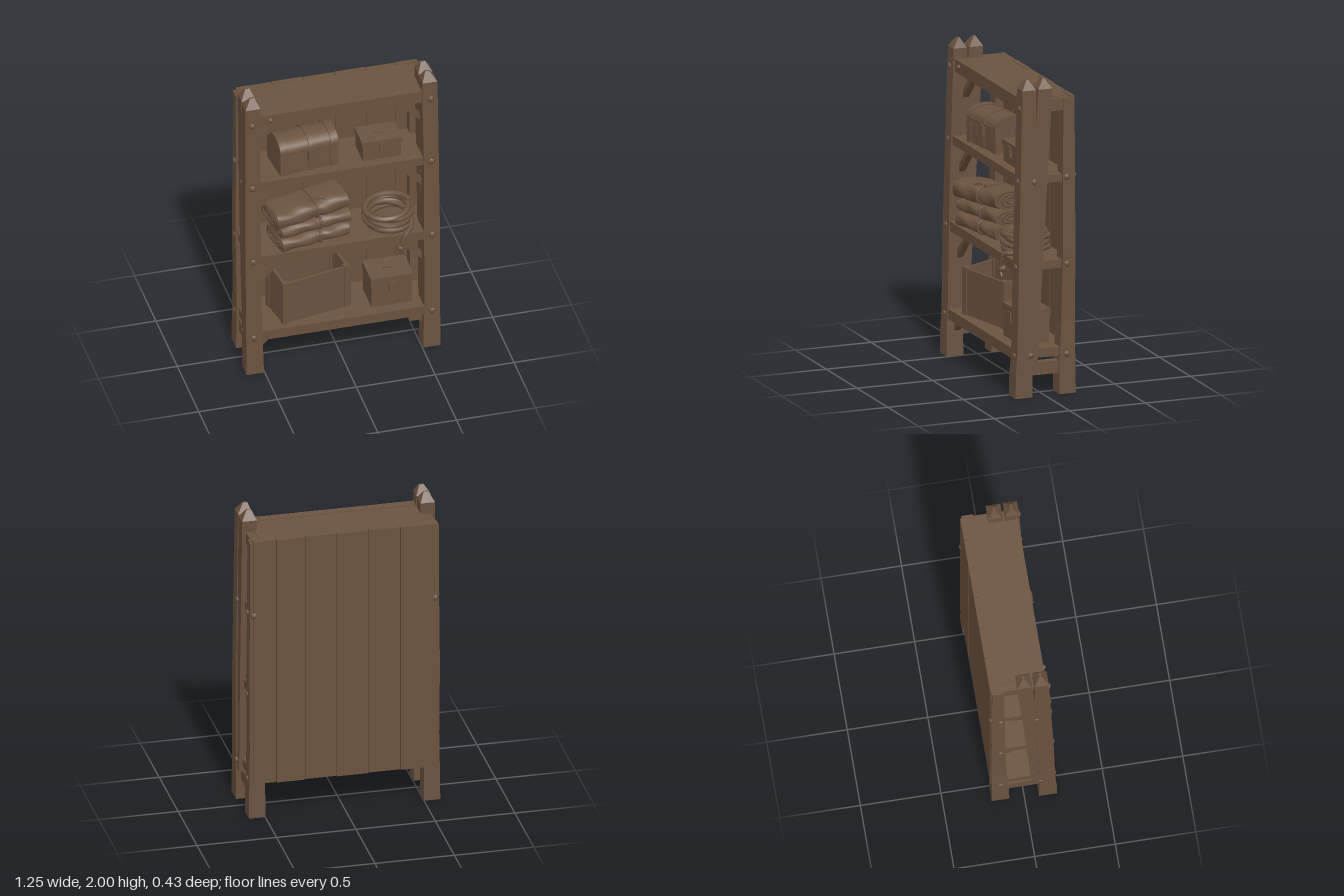
import * as THREE from 'three';
import { toCreasedNormals } from 'three/addons/utils/BufferGeometryUtils.js';

export function createModel() {
  const model = new THREE.Group();
  const wood = new THREE.MeshStandardMaterial({ color: 0x6a523f });
  wood.name = 'brown wood';

  const add = (name, geo, parent = model) => {
    const mesh = new THREE.Mesh(geo, wood);
    mesh.name = name;
    parent.add(mesh);
    return mesh;
  };
  const group = (name, x, y, z, turn = 0, tilt = 0) => {
    const g = new THREE.Group();
    g.name = name;
    g.position.set(x, y, z);
    g.rotation.set(0, turn, tilt);
    model.add(g);
    return g;
  };
  // Box given by its limits
  const box = (name, x0, x1, y0, y1, z0, z1, parent) => {
    const mesh = add(name, new THREE.BoxGeometry(x1 - x0, y1 - y0, z1 - z0), parent);
    mesh.position.set((x0 + x1) / 2, (y0 + y1) / 2, (z0 + z1) / 2);
    return mesh;
  };
  // Square-section timber from sections [y, cx, cz, halfX, halfZ], flat shaded
  const loft = (name, sections) => {
    const pos = [], idx = [];
    sections.forEach(([y, cx, cz, hx, hz]) =>
      [[-1, -1], [-1, 1], [1, 1], [1, -1]].forEach(([a, b]) => pos.push(cx + a * hx, y, cz + b * hz)));
    for (let s = 0; s < sections.length - 1; s++)
      for (let i = 0; i < 4; i++) {
        const a = s * 4 + i, b = s * 4 + (i + 1) % 4;
        idx.push(a, b, b + 4, a, b + 4, a + 4);
      }
    const t = pos.length / 3 - 4;
    idx.push(0, 2, 1, 0, 3, 2, t, t + 1, t + 2, t, t + 2, t + 3);
    const g = new THREE.BufferGeometry();
    g.setAttribute('position', new THREE.Float32BufferAttribute(pos, 3));
    g.setIndex(idx);
    const flat = g.toNonIndexed();
    flat.computeVertexNormals();
    return add(name, flat);
  };
  const tube = (name, pts, r, seg, parent, sides = 7) =>
    add(name, new THREE.TubeGeometry(new THREE.CatmullRomCurve3(pts), seg, r, sides), parent);
  const V = (x, y, z) => new THREE.Vector3(x, y, z);

  const shelves = [[0.235, 0.30, 0.19], [0.79, 0.85, 0.175], [1.335, 1.39, 0.158]];

  // Posts, side rails, corner braces and bolts on both sides
  for (const s of [-1, 1]) {
    loft('frontPost', [
      [0, s * 0.56, 0.146, 0.055, 0.056], [0.15, s * 0.562, 0.146, 0.053, 0.054],
      [0.27, s * 0.565, 0.141, 0.05, 0.05], [0.85, s * 0.567, 0.131, 0.05, 0.05],
      [1.3, s * 0.567, 0.119, 0.047, 0.05], [1.72, s * 0.562, 0.112, 0.049, 0.047],
      [1.94, s * 0.561, 0.108, 0.047, 0.044], [2, s * 0.555, 0.106, 0.014, 0.006]]);
    loft('leaningPost', [
      [0.2, s * 0.56, 0.098, 0.044, 0.046], [0.9, s * 0.562, 0.063, 0.045, 0.048],
      [1.5, s * 0.562, 0.028, 0.045, 0.048], [1.94, s * 0.561, 0.002, 0.046, 0.046],
      [2, s * 0.557, 0, 0.014, 0.006]]);
    loft('rearPost', [
      [0, s * 0.55, -0.147, 0.052, 0.055], [0.2, s * 0.55, -0.147, 0.05, 0.052],
      [0.45, s * 0.55, -0.153, 0.046, 0.045], [0.9, s * 0.552, -0.159, 0.048, 0.041],
      [1.4, s * 0.55, -0.159, 0.045, 0.04], [1.86, s * 0.55, -0.16, 0.044, 0.036]]);
    const rail = (name, y0, y1, z0, z1) => box(name, s * 0.555 - 0.027, s * 0.555 + 0.027, y0, y1, z0, z1);
    rail('footRail', 0.13, 0.21, -0.12, 0.12);
    shelves.forEach(([y0, y1]) => rail('sideRail', y0 + 0.004, y1 - 0.004, -0.15, 0.1));
    rail('topSideRail', 1.79, 1.865, -0.18, 0.08);

    [[0.235, 0.07, 0.15], [0.79, 0.16, 0.13], [1.335, 0.16, 0.115], [1.79, 0.15, 0.09]].forEach(([y, l, z]) => {
      const brace = add('cornerBrace', new THREE.BoxGeometry(l * 1.414 + 0.02, 0.032, 0.04));
      brace.position.set(s * (0.525 - l / 2), y - l / 2, z - 0.02);
      brace.rotation.z = -s * Math.PI / 4;
    });

    const bolt = (x, y, z, side) => {
      const b = add('bolt', new THREE.SphereGeometry(0.021, 8, 6));
      b.position.set(x, y, z);
      b.scale.set(side ? 0.6 : 1, 1, side ? 1 : 0.6);
    };
    [[0.26, 0.191], [0.82, 0.181], [1.36, 0.167], [1.82, 0.157]].forEach(([y, z]) => bolt(s * 0.567, y, z, false));
    [[0.265, 0.1], [1.36, 0.075]].forEach(([y, z]) => bolt(s * 0.61, y, z, true));
    [0.25, 0.82, 1.37].forEach(y => bolt(s * 0.597, y, -0.145, true));
    bolt(s * 0.57, 1.37, -0.202, false);
  }

  // Shelves with a front lip
  shelves.forEach(([y0, y1, z]) => {
    box('shelf', -0.53, 0.53, y0 + 0.005, y1 - 0.003, -0.176, z - 0.03);
    box('shelfLip', -0.528, 0.528, y0, y1, z - 0.03, z);
  });

  // Top board and the front beam
  box('topBoard', -0.53, 0.53, 1.835, 1.87, -0.176, 0.11);
  box('topBeam', -0.53, 0.53, 1.793, 1.875, 0.085, 0.142);
  const peg = add('bolt', new THREE.SphereGeometry(0.018, 8, 6));
  peg.position.set(-0.45, 1.838, 0.142);

  // Back planks with narrow gaps
  const edges = [-0.575, -0.35, -0.15, 0.05, 0.245, 0.43, 0.575];
  for (let i = 0; i < 6; i++)
    box('backPlank', edges[i] + 0.002, edges[i + 1] - 0.002,
      0.228 + 0.004 * (i % 2), 1.87 + 0.003 * (i % 2), -0.206, -0.175);

  // Arch-topped chest, turned slightly
  const chest = group('chest', -0.2, 1.388, -0.012, 0.1);
  const archSlice = (name, x, width, grow) => {
    const w = 0.108 + grow, h = 0.16, sh = new THREE.Shape();
    sh.moveTo(-w, 0).lineTo(w, 0).lineTo(w, h);
    for (let i = 1; i <= 12; i++) {
      const a = i / 12 * Math.PI;
      sh.lineTo(w * Math.cos(a), h + (0.065 + grow) * Math.sin(a));
    }
    const g = new THREE.ExtrudeGeometry(sh, { depth: width, bevelEnabled: false });
    g.translate(0, 0, -width / 2).rotateY(Math.PI / 2).translate(x, 0, 0);
    return add(name, toCreasedNormals(g, 0.6), chest);
  };
  archSlice('chestBody', 0, 0.365, 0);
  [-0.165, 0.165].forEach(x => archSlice('chestEndBand', x, 0.05, 0.008));
  archSlice('chestStrap', 0.015, 0.035, 0.008);
  box('lidRim', -0.187, 0.187, 0.142, 0.162, -0.117, 0.117, chest);
  box('chestLatch', -0.01, 0.04, 0.082, 0.152, 0.107, 0.127, chest);

  // Two small lidded boxes
  const smallBox = (x0, x1, y0, y1, z0, z1) => {
    const g = group('smallBox', 0, 0, 0);
    const split = y1 - (y1 - y0) * 0.25, mx = (x0 + x1) / 2;
    box('boxBody', x0 + 0.006, x1 - 0.006, y0, split - 0.004, z0 + 0.006, z1 - 0.006, g);
    box('boxSeam', x0 + 0.012, x1 - 0.012, split - 0.004, split, z0 + 0.012, z1 - 0.012, g);
    box('boxLid', x0, x1, split, y1, z0, z1, g);
    box('boxLatch', mx - 0.02, mx + 0.02, split - 0.05, split + 0.02, z1 - 0.01, z1 + 0.01, g);
    box('boxHandle', mx - 0.03, mx + 0.03, y1, y1 + 0.008, (z0 + z1) / 2 - 0.01, (z0 + z1) / 2 + 0.01, g);
  };
  smallBox(0.145, 0.4, 1.388, 1.525, -0.08, 0.1);
  smallBox(0.195, 0.465, 0.298, 0.51, -0.09, 0.12);

  // Open crate turned to show its right-hand end, rear rim a little higher
  const crate = group('crate', -0.167, 0.3, -0.008, 0.2);
  box('crateFloor', -0.22, 0.22, 0, 0.02, -0.11, 0.11, crate);
  box('crateFront', -0.22, 0.22, 0, 0.292, 0.095, 0.112, crate);
  box('crateBack', -0.22, 0.22, 0, 0.32, -0.112, -0.095, crate);
  for (const s of [-1, 1]) {
    const side = box('crateSide', s * 0.216 - 0.009, s * 0.216 + 0.009, 0, 0.306, -0.11, 0.11, crate);
    const p = side.geometry.attributes.position;
    for (let i = 0; i < p.count; i++) if (p.getY(i) > 0) p.setY(i, p.getY(i) - p.getZ(i) * 0.14);
    side.geometry.computeVertexNormals();
    box('cratePost', s * 0.21 - 0.022, s * 0.21 + 0.022, 0, 0.3, 0.084, 0.12, crate);
    box('cratePost', s * 0.21 - 0.022, s * 0.21 + 0.022, 0, 0.332, -0.12, -0.084, crate);
  }

  // Stacked blanket rolls: squashed cylinders with soft wrinkles, a coiled end and a tie
  const blanket = (xc, len, y, hy, zc, hz, turn, tilt) => {
    const g = group('blanketRoll', xc, y, zc, turn, tilt);
    const geo = new THREE.CylinderGeometry(1, 1, len, 28, 14);
    geo.rotateZ(Math.PI / 2);
    const p = geo.attributes.position;
    const sq = v => Math.sign(v) * Math.pow(Math.abs(v), 0.7);
    for (let i = 0; i < p.count; i++) {
      const x = p.getX(i), a = Math.atan2(p.getY(i), p.getZ(i));
      const k = 1 + 0.035 * Math.sin(x * 31 + a * 3 + y * 40) - 0.09 * Math.exp(-Math.pow((x - 0.03) / 0.025, 2));
      p.setXYZ(i, x, sq(p.getY(i)) * hy * k, sq(p.getZ(i)) * hz * k);
    }
    geo.computeVertexNormals();
    add('blanket', toCreasedNormals(geo, 0.9), g);
    for (const e of [-1, 1]) {
      const pts = [];
      for (let i = 0; i <= 40; i++) {
        const a = i / 40 * Math.PI * 5, r = 0.88 - 0.7 * i / 40;
        pts.push(V(e * len / 2, sq(Math.sin(a)) * hy * r, sq(Math.cos(a)) * hz * r));
      }
      tube('rolledEnd', pts, 0.008, 90, g, 5);
    }
    const tie = [];
    for (let i = 0; i < 24; i++) {
      const a = i / 24 * Math.PI * 2;
      tie.push(V(0.03, sq(Math.sin(a)) * hy * 0.97, sq(Math.cos(a)) * hz * 0.97));
    }
    add('tie', new THREE.TubeGeometry(new THREE.CatmullRomCurve3(tie, true), 60, 0.009, 6, true), g);
    return g;
  };
  blanket(-0.178, 0.45, 0.9, 0.05, 0.035, 0.125, 0.18, 0);
  blanket(-0.172, 0.46, 0.992, 0.047, 0.03, 0.12, 0.16, 0.02);
  const topRoll = blanket(-0.2, 0.48, 1.093, 0.06, 0.035, 0.125, 0.2, 0.05);
  for (const e of [-1, 1])
    tube('bow', [V(0.03, 0.055, 0.06), V(0.03 + e * 0.04, 0.07, 0.07), V(0.03 + e * 0.07, 0.062, 0.09)], 0.008, 10, topRoll, 5);

  // Coiled rope with a knotted end hanging over the lip
  const coil = [];
  for (let i = 0; i <= 120; i++) {
    const t = i / 120, a = t * Math.PI * 10;
    const r = 0.135 + 0.012 * Math.sin(i * 0.37);
    coil.push(V(0.33 + r * Math.cos(a), 0.868 + 0.115 * t + 0.008 * Math.sin(a * 1.3), 0.02 + r * 0.95 * Math.sin(a)));
  }
  tube('ropeCoil', coil, 0.019, 300, model);
  tube('ropeEnd', [V(0.46, 0.9, 0.08), V(0.44, 0.875, 0.15), V(0.4, 0.865, 0.19), V(0.38, 0.82, 0.197), V(0.365, 0.76, 0.195)], 0.016, 30, model);
  const knot = add('ropeKnot', new THREE.SphereGeometry(0.026, 10, 8));
  knot.position.set(0.367, 0.768, 0.19);
  for (const d of [-0.03, 0, 0.025])
    tube('ropeFray', [V(0.367, 0.765, 0.195), V(0.362 + d * 0.5, 0.745, 0.2), V(0.36 + d, 0.722, 0.198)], 0.008, 8, model, 5);

  return model;
}
